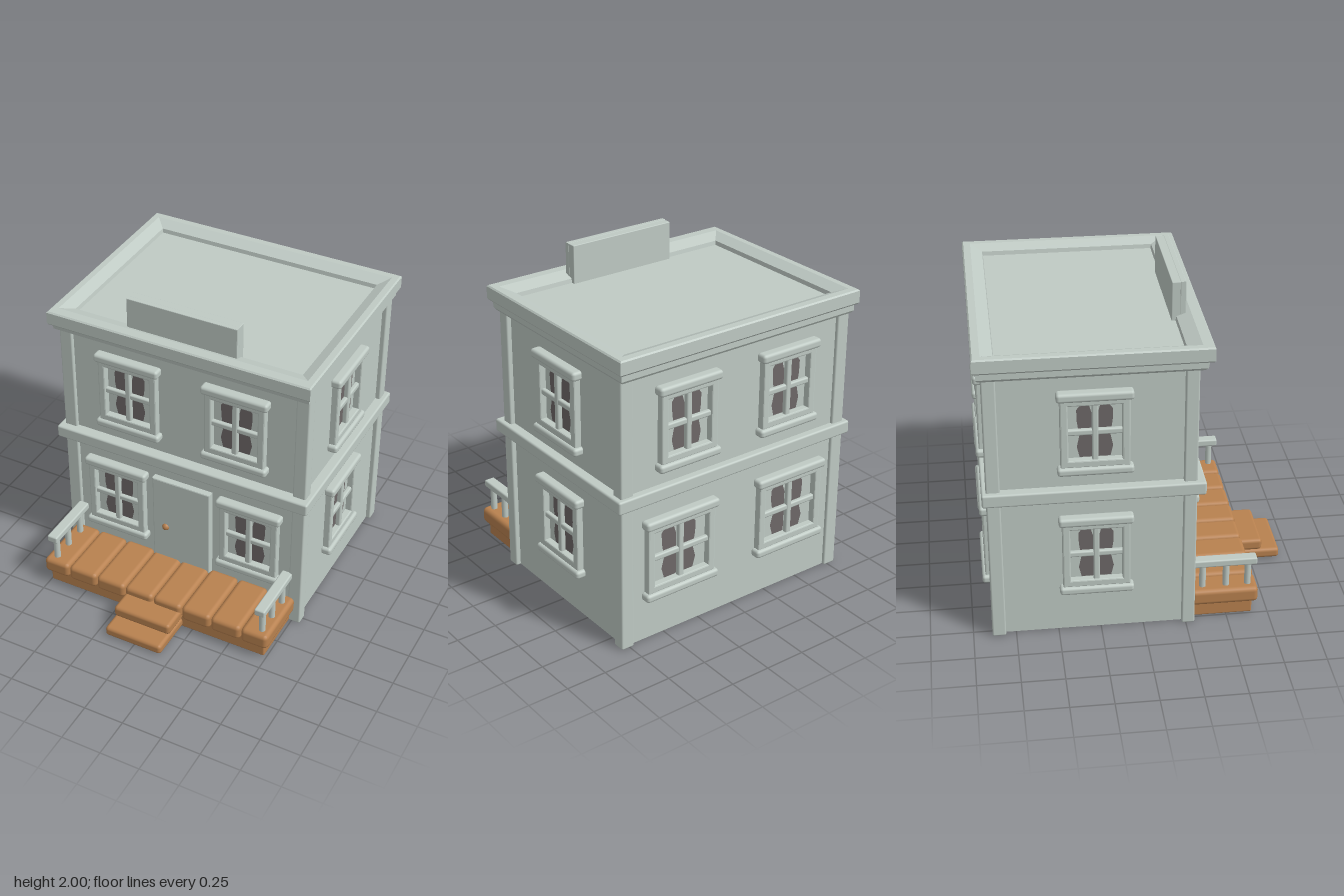
import * as THREE from 'three';
import { RoundedBoxGeometry } from 'three/addons/geometries/RoundedBoxGeometry.js';

const paint = new THREE.MeshStandardMaterial({ color: 0xbfcac4 });
paint.name = 'pale paint';
const wood = new THREE.MeshStandardMaterial({ color: 0xb8814f });
wood.name = 'brown wood';
const glass = new THREE.MeshStandardMaterial({ color: 0x6e6868 });
glass.name = 'dark glass';

function add(parent, name, geometry, material, x = 0, y = 0, z = 0) {
  const mesh = new THREE.Mesh(geometry, material);
  mesh.name = name;
  mesh.position.set(x, y, z);
  parent.add(mesh);
  return mesh;
}

// Soft-edged block given by its limits on each axis
function block(parent, name, material, [x0, x1], [y0, y1], [z0, z1], r = 0.012) {
  const g = new RoundedBoxGeometry(x1 - x0, y1 - y0, z1 - z0, 2, r);
  return add(parent, name, g, material, (x0 + x1) / 2, (y0 + y1) / 2, (z0 + z1) / 2);
}

function rectPath(path, w, h, cx = 0, cy = 0) {
  path.moveTo(cx - w / 2, cy - h / 2);
  path.lineTo(cx + w / 2, cy - h / 2);
  path.lineTo(cx + w / 2, cy + h / 2);
  path.lineTo(cx - w / 2, cy + h / 2);
  path.closePath();
  return path;
}

// Flat plate with rectangular openings, bevelled edges, back at z = 0
function frameGeometry(w, h, holes, depth, bevel = 0.008) {
  const s = rectPath(new THREE.Shape(), w - 2 * bevel, h - 2 * bevel);
  for (const [hw, hh, cx, cy] of holes) {
    s.holes.push(rectPath(new THREE.Path(), hw + 2 * bevel, hh + 2 * bevel, cx, cy));
  }
  const g = new THREE.ExtrudeGeometry(s, {
    depth: depth - bevel, bevelEnabled: true, bevelThickness: bevel, bevelSize: bevel, bevelSegments: 2,
  });
  return g;
}

// Mitred rectangular moulding: each ring is [half x, z back, z front, y]
function mouldingGeometry(rings) {
  const pos = [];
  const corners = ([hx, zb, zf, y]) => [[-hx, y, zf], [hx, y, zf], [hx, y, zb], [-hx, y, zb]];
  for (let i = 0; i < rings.length - 1; i++) {
    const a = corners(rings[i]), b = corners(rings[i + 1]);
    for (let k = 0; k < 4; k++) {
      const n = (k + 1) % 4;
      pos.push(...a[k], ...a[n], ...b[n], ...a[k], ...b[n], ...b[k]);
    }
  }
  const top = corners(rings[rings.length - 1]);
  pos.push(...top[0], ...top[1], ...top[2], ...top[0], ...top[2], ...top[3]);
  const g = new THREE.BufferGeometry();
  g.setAttribute('position', new THREE.Float32BufferAttribute(pos, 3));
  g.computeVertexNormals();
  return g;
}

// Dark gap between drawn curtains, one half of a window
function paneGeometry(side, scale) {
  const outline = [[0.015, -0.165], [0.085, -0.165], [0.1, -0.1], [0.085, -0.03], [0.098, 0.06],
    [0.1, 0.13], [0.075, 0.165], [0.03, 0.155], [0.015, 0.1]];
  const pts = outline.map(([x, y]) => new THREE.Vector2(side * x * scale, y));
  return new THREE.ShapeGeometry(new THREE.Shape(side < 0 ? pts.reverse() : pts));
}

// Window facing +z, centred on its own origin, wall at z = 0
function makeWindow(name, w) {
  const win = new THREE.Group();
  win.name = name;
  const fw = w - 0.04;
  add(win, 'windowFrame', frameGeometry(fw, 0.43, [[fw - 0.09, 0.34, 0, 0]], 0.042), paint);
  block(win, 'lintel', paint, [-w / 2, w / 2], [0.2, 0.255], [-0.01, 0.06], 0.018);
  block(win, 'sill', paint, [-w / 2, w / 2], [-0.26, -0.21], [-0.01, 0.06], 0.018);
  block(win, 'verticalBar', paint, [-0.018, 0.018], [-0.18, 0.18], [0, 0.034], 0.01);
  block(win, 'crossBar', paint, [-fw / 2 + 0.03, fw / 2 - 0.03], [-0.018, 0.018], [0, 0.03], 0.01);
  for (const s of [-1, 1]) add(win, 'darkPane', paneGeometry(s, w / 0.425), glass, 0, 0, 0.004);
  return win;
}

export function createModel() {
  const model = new THREE.Group();
  model.name = 'house';

  // Walls and corner posts
  const X = 0.775, ZF = 0.28, ZB = -0.87, ZC = (ZF + ZB) / 2;
  add(model, 'walls', new THREE.BoxGeometry(2 * X, 1.73, ZF - ZB), paint, 0, 0.875, ZC);
  for (const s of [-1, 1]) {
    for (const z of [[0.225, 0.302], [-0.89, -0.81]]) {
      const x = s < 0 ? [-0.805, -0.722] : [0.722, 0.805];
      block(model, 'cornerPost', paint, x, [0.005, 1.72], z, 0.01);
    }
  }

  // Floor band, cornice and sunken roof
  block(model, 'floorBand', paint, [-0.835, 0.835], [0.9, 0.98], [-0.915, 0.35], 0.012);
  add(model, 'corniceAndRoof', mouldingGeometry([
    [0.76, -0.86, 0.27, 1.675], [0.805, -0.905, 0.325, 1.675], [0.815, -0.915, 0.345, 1.69],
    [0.815, -0.915, 0.35, 1.725], [0.827, -0.927, 0.372, 1.73], [0.835, -0.935, 0.38, 1.74],
    [0.835, -0.935, 0.38, 1.812], [0.827, -0.927, 0.372, 1.82], [0.79, -0.885, 0.315, 1.82],
    [0.725, -0.815, 0.235, 1.79], [0.72, -0.81, 0.23, 1.765],
  ]), paint);

  // Framed board on the roof edge
  add(model, 'roofBoardFrame', frameGeometry(0.7, 0.24, [[0.62, 0.2, 0, -0.02]], 0.03, 0.004), paint, 0, 1.88, 0.26);
  block(model, 'roofBoard', paint, [-0.348, 0.348], [1.76, 1.999], [0.208, 0.268], 0.004);

  // Windows on all four sides
  const rows = [[1.33, 0.35, 0.425, 0.425], [0.535, 0.45, 0.425, 0.51]];
  for (const [y, x, wFront, wBack] of rows) {
    for (const s of [-1, 1]) {
      const front = makeWindow('frontWindow', wFront);
      front.position.set(s * x, y, ZF);
      const back = makeWindow('backWindow', wBack);
      back.position.set(s * (y > 1 ? 0.355 : 0.4), y, ZB);
      back.rotation.y = Math.PI;
      const side = makeWindow('sideWindow', 0.43);
      side.position.set(s * X, y, -0.275);
      side.rotation.y = s * Math.PI / 2;
      model.add(front, back, side);
    }
  }

  // Door
  const door = new THREE.Group();
  door.name = 'door';
  model.add(door);
  add(door, 'doorFrame', frameGeometry(0.39, 0.62, [[0.3, 0.56, 0, -0.03]], 0.04), paint, 0, 0.48, ZF);
  add(door, 'doorLeaf', frameGeometry(0.3, 0.56, [[0.2, 0.22, 0, 0.11], [0.2, 0.16, 0, -0.15]], 0.02, 0.006), paint, 0, 0.465, ZF);
  block(door, 'upperPanel', paint, [-0.088, 0.088], [0.477, 0.673], [0.27, 0.29], 0.006);
  block(door, 'lowerPanel', paint, [-0.088, 0.088], [0.247, 0.383], [0.27, 0.29], 0.006);
  add(door, 'doorKnob', new THREE.SphereGeometry(0.024, 16, 12), wood, -0.107, 0.434, 0.315);

  // Porch: base, planks and steps
  block(model, 'porchBase', wood, [-0.745, 0.735], [0.008, 0.12], [0.28, 0.655], 0.01);
  const edges = [-0.775, -0.597, -0.4, -0.2, -0.004, 0.19, 0.387, 0.588, 0.767];
  for (let i = 0; i < 8; i++) {
    block(model, 'porchPlank', wood, [edges[i] + 0.002, edges[i + 1] - 0.002], [0.093, 0.195], [0.285, 0.688], 0.028);
  }
  block(model, 'upperStep', wood, [-0.195, 0.185], [0.072, 0.147], [0.62, 0.825], 0.022);
  block(model, 'lowerStep', wood, [-0.195, 0.185], [0.008, 0.074], [0.63, 0.936], 0.022);

  // Porch railings
  for (const s of [-1, 1]) {
    const rail = new THREE.Group();
    rail.name = 'porchRailing';
    rail.position.x = s * 0.708;
    model.add(rail);
    block(rail, 'handrail', paint, [-0.034, 0.034], [0.34, 0.386], [0.29, 0.68], 0.01);
    for (const z of [0.63, 0.5, 0.36]) {
      add(rail, 'baluster', new THREE.CylinderGeometry(0.02, 0.02, 0.17, 12), paint, 0, 0.265, z);
    }
  }
  return model;
}
